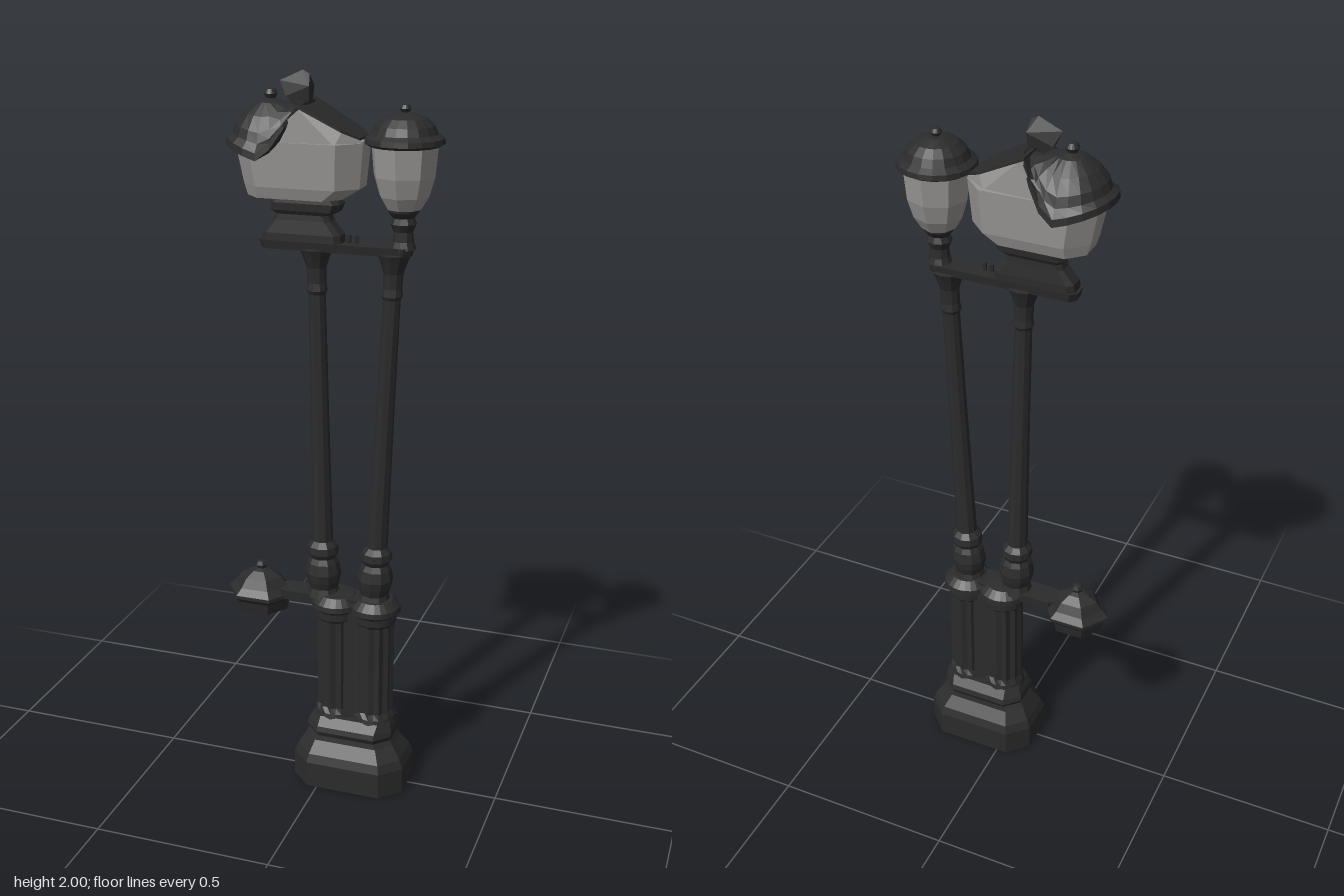
import * as THREE from 'three';
import { ConvexGeometry } from 'three/addons/geometries/ConvexGeometry.js';

export function createModel() {
  const group = new THREE.Group();
  const iron = new THREE.MeshStandardMaterial({ name: 'blackIron', color: 0x2b2b2b, flatShading: true, side: THREE.DoubleSide });
  const glass = new THREE.MeshStandardMaterial({ name: 'greyGlass', color: 0x989694, flatShading: true, side: THREE.DoubleSide });

  const add = (name, geo, mat, x = 0, y = 0, z = 0) => {
    const m = new THREE.Mesh(geo, mat);
    m.name = name;
    m.position.set(x, y, z);
    group.add(m);
    return m;
  };
  // profile: [radius, y] from bottom to top
  const lathe = (profile, sides) =>
    new THREE.LatheGeometry(profile.map(([r, y]) => new THREE.Vector2(r, y)), sides);
  // move every vertex by a rule
  const warp = (geo, rule) => {
    const p = geo.attributes.position, v = new THREE.Vector3();
    for (let i = 0; i < p.count; i++) {
      v.fromBufferAttribute(p, i);
      rule(v, i);
      p.setXYZ(i, v.x, v.y, v.z);
    }
    geo.computeVertexNormals();
    return geo;
  };
  const hull = (pts) => new ConvexGeometry(pts.map((p) => new THREE.Vector3(...p)));

  // chamfered rectangle rings [y, xMin, xMax, halfDepth, chamfer], lofted and capped
  const loft = (rings) => {
    const pos = [], idx = [], n = 8;
    for (const [y, a, b, d, c] of rings) {
      for (const [x, z] of [[b, -d + c], [b, d - c], [b - c, d], [a + c, d],
        [a, d - c], [a, -d + c], [a + c, -d], [b - c, -d]]) pos.push(x, y, z);
    }
    for (let r = 0; r < rings.length - 1; r++) {
      for (let i = 0; i < n; i++) {
        const a = r * n + i, b = r * n + (i + 1) % n;
        idx.push(a, a + n, b, b, a + n, b + n);
      }
    }
    const t = (rings.length - 1) * n;
    for (let k = 1; k < n - 1; k++) idx.push(0, k, k + 1, t, t + k + 1, t + k);
    const g = new THREE.BufferGeometry();
    g.setAttribute('position', new THREE.Float32BufferAttribute(pos, 3));
    g.setIndex(idx);
    g.computeVertexNormals();
    return g;
  };

  // stepped plinth
  add('plinth', loft([
    [0, -0.085, 0.24, 0.11, 0.055], [0.075, -0.085, 0.24, 0.11, 0.055],
    [0.1, -0.075, 0.23, 0.102, 0.05], [0.135, -0.055, 0.205, 0.078, 0.04],
    [0.15, -0.045, 0.197, 0.075, 0.04], [0.165, -0.05, 0.2, 0.082, 0.04],
    [0.18, -0.047, 0.2, 0.078, 0.04], [0.205, -0.035, 0.195, 0.06, 0.03],
  ]), iron);

  // twin fluted columns with capitals
  const colProfile = [[0.066, 0.19], [0.06, 0.215], [0.056, 0.23], [0.056, 0.5], [0.06, 0.51],
    [0.06, 0.53], [0.072, 0.54], [0.07, 0.555], [0.05, 0.575], [0, 0.58]];
  for (const x of [0.025, 0.137]) {
    const col = warp(lathe(colProfile, 24), (v, i) => {
      const j = i % colProfile.length;
      if (Math.floor(i / colProfile.length) % 2 && (j === 2 || j === 3)) {
        v.x *= 0.88;
        v.z *= 0.88;
      }
    });
    add('flutedColumn', col, iron, x);
  }
  add('columnWeb', new THREE.BoxGeometry(0.1, 0.34, 0.08), iron, 0.081, 0.37);

  // leaning poles with turned bases and flared heads
  const poleProfile = [[0.048, 0.565], [0.04, 0.59], [0.046, 0.61], [0.05, 0.635], [0.044, 0.665],
    [0.036, 0.68], [0.044, 0.695], [0.042, 0.715], [0.029, 0.73], [0.025, 1.1], [0.023, 1.43],
    [0.028, 1.44], [0.025, 1.46], [0.026, 1.5], [0.036, 1.53], [0.044, 1.55], [0, 1.56]];
  for (const [x0, x1] of [[-0.014, -0.035], [0.133, 0.178]]) {
    add('pole', warp(lathe(poleProfile, 10), (v) => {
      v.x += x0 + (x1 - x0) * (v.y - 0.565) / 0.995;
    }), iron);
  }

  // crossbar with small bolts
  add('crossbar', loft([[1.547, -0.18, 0.222, 0.03, 0.015], [1.57, -0.185, 0.225, 0.034, 0.015]]), iron);
  for (const x of [0.055, 0.075]) {
    add('bolt', new THREE.CylinderGeometry(0.006, 0.006, 0.025, 6), iron, x, 1.578);
  }

  // upright lamp
  const lampX = 0.2;
  add('lampNeck', lathe([[0.034, 1.565], [0.027, 1.585], [0.025, 1.61], [0.034, 1.63],
    [0.028, 1.645], [0.04, 1.66], [0.042, 1.67], [0, 1.67]], 10), iron, lampX);
  add('lampGlass', lathe([[0, 1.665], [0.045, 1.667], [0.065, 1.7], [0.08, 1.75], [0.088, 1.835]], 8), glass, lampX);
  add('lampCap', lathe([[0, 1.825], [0.09, 1.825], [0.102, 1.832], [0.1, 1.845], [0.084, 1.855],
    [0.075, 1.875], [0.055, 1.893], [0.025, 1.905], [0.01, 1.907], [0.015, 1.916],
    [0.01, 1.925], [0, 1.927]], 18), iron, lampX);

  // foot of the large lantern
  add('lanternFoot', loft([
    [1.57, -0.178, 0.04, 0.034, 0.015], [1.59, -0.175, 0.038, 0.034, 0.015],
    [1.625, -0.145, 0.01, 0.03, 0.012], [1.64, -0.14, 0.005, 0.029, 0.012],
    [1.65, -0.152, 0.03, 0.035, 0.015], [1.67, -0.152, 0.037, 0.037, 0.015],
    [1.69, -0.14, 0.025, 0.034, 0.015],
  ]), iron);

  // stretched lantern glass: bowl and slanted shoulder
  add('lanternBowl', loft([
    [1.685, -0.21, 0.045, 0.07, 0.04], [1.715, -0.22, 0.092, 0.08, 0.05],
    [1.83, -0.243, 0.102, 0.09, 0.055],
  ]), glass);
  const shoulder = [];
  for (const s of [-1, 1]) {
    shoulder.push([-0.15, 1.825, s * 0.09], [0.04, 1.825, s * 0.078], [0.1, 1.825, s * 0.035],
      [-0.05, 1.912, s * 0.085], [0.055, 1.857, s * 0.065], [0.1, 1.833, s * 0.035]);
  }
  add('lanternShoulder', hull(shoulder), glass);

  // thin roof plate over the slanted shoulder
  const roof = [];
  for (const s of [-1, 1]) {
    for (const h of [0.001, 0.007]) {
      roof.push([-0.07, 1.922 + h, s * 0.087], [0.055, 1.857 + h, s * 0.067], [0.095, 1.836 + h, s * 0.037]);
    }
  }
  add('lanternRoof', hull(roof), iron);

  // domed cap, dipping at the sides and lifted towards the roof plate
  const capX = -0.155, capR = 0.116;
  add('lanternCap', warp(lathe([[0.1, 1.815], [0.116, 1.82], [0.114, 1.838], [0.098, 1.85], [0.09, 1.872],
    [0.068, 1.9], [0.035, 1.922], [0.012, 1.928], [0.018, 1.94], [0.012, 1.951], [0, 1.953]], 20), (v) => {
    const t = Math.min(1, Math.hypot(v.x, v.z) / capR);
    const x = v.x + capX;
    const lift = x < -0.14 ? -(x + 0.27) * 0.3 : -0.039 + (x + 0.14) * 1.55;
    v.y += t * t * Math.min(lift, 0.09);
    if (v.y > 1.93 && t > 0.3) v.y = 1.93;
    v.x = Math.min(x, -0.048);
    v.z *= 1.03;
  }), iron);

  // sideways spike on the cap
  const spike = [[-0.13, 1.972, 0], [-0.068, 2, 0], [-0.05, 1.99, 0]];
  for (const s of [-1, 1]) {
    spike.push([-0.045, 1.962, s * 0.02], [-0.048, 1.92, s * 0.014], [-0.11, 1.935, s * 0.012], [-0.09, 1.915, s * 0.012]);
  }
  add('capSpike', hull(spike), iron);

  // low side lamp on its arm
  add('sideArm', loft([[0.545, -0.14, 0.15, 0.032, 0.012], [0.572, -0.14, 0.15, 0.035, 0.012]]), iron);
  const side = add('sideLamp', lathe([[0, 0.497], [0.076, 0.498], [0.084, 0.53], [0.098, 0.542],
    [0.098, 0.552], [0.078, 0.57], [0.06, 0.595], [0.03, 0.612], [0.012, 0.617], [0.018, 0.627],
    [0.012, 0.638], [0, 0.64]], 6), iron, -0.202);
  side.rotation.y = Math.PI / 2;
  side.scale.x = 0.85;

  return group;
}
